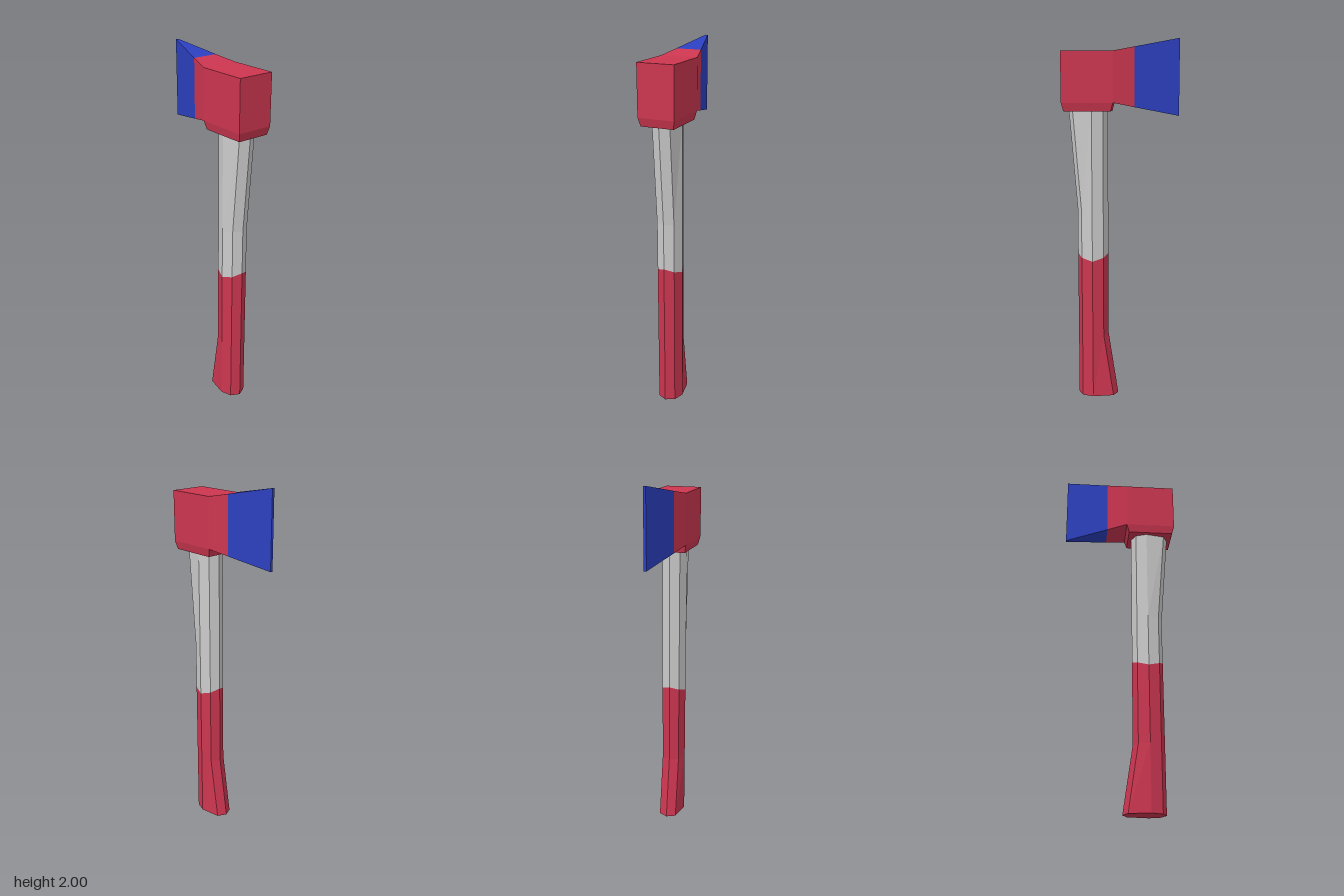
import * as THREE from 'three';

const red = new THREE.MeshStandardMaterial({ color: 0xcc3650, flatShading: true });
const blue = new THREE.MeshStandardMaterial({ color: 0x2c40c0, flatShading: true });
const grey = new THREE.MeshStandardMaterial({ color: 0xcccccc, flatShading: true });

// Skin a list of equal-length rings, each running counterclockwise about the travel direction.
function loft(name, material, rings, { start = false, end = false, skipSide = -1 } = {}) {
  const pos = [];
  const tri = (a, b, c) => pos.push(...a, ...b, ...c);
  const n = rings[0].length;
  for (let i = 0; i < rings.length - 1; i++) {
    for (let j = 0; j < n; j++) {
      if (j === skipSide) continue;
      const k = (j + 1) % n, lo = rings[i], hi = rings[i + 1];
      tri(lo[j], lo[k], hi[k]);
      tri(lo[j], hi[k], hi[j]);
    }
  }
  const first = rings[0], last = rings[rings.length - 1];
  for (let j = 1; j < n - 1; j++) {
    if (start) tri(first[0], first[j + 1], first[j]);
    if (end) tri(last[0], last[j], last[j + 1]);
  }
  const geometry = new THREE.BufferGeometry();
  geometry.setAttribute('position', new THREE.Float32BufferAttribute(pos, 3));
  geometry.computeVertexNormals();
  const mesh = new THREE.Mesh(geometry, material);
  mesh.name = name;
  return mesh;
}

// Octagonal handle section; front/back push its front or back corners out, wave lifts them.
function handleRing(y, front = 0, back = 0, wave = 0) {
  return Array.from({ length: 8 }, (_, i) => {
    const a = (i * Math.PI) / 4;
    const c = Math.cos(a);
    const shift = c > 0.1 ? front : c < -0.1 ? -back : 0;
    return [0.07 * Math.sin(a), y + wave * c * c, 0.155 + 0.085 * c + shift];
  });
}

// Horizontal rectangle of the head body
const bodyRing = (y, w, zBack, zFront) =>
  [[-w, y, zBack], [-w, y, zFront], [w, y, zFront], [w, y, zBack]];

// Upright rectangle of the tapering blade
const bladeRing = (z, w, low, high) =>
  [[-w, low, z], [-w, high, z], [w, high, z], [w, low, z]];

export function createModel() {
  const model = new THREE.Group();
  model.name = 'axe';

  // Handle: flared grip, then a shaft widening forward under the head
  const handle = new THREE.Group();
  handle.name = 'handle';
  const seam = handleRing(0.79, 0, 0, 0.037);
  handle.add(
    loft('grip', red, [handleRing(0, 0, 0.055), handleRing(0.36), seam], { start: true }),
    loft('shaft', grey, [seam, handleRing(1.08), handleRing(1.63, 0.044)], { end: true })
  );

  // Head: block with a chamfered lip, cheeks tapering to the cutting edge
  const head = new THREE.Group();
  head.name = 'head';
  const neck = bladeRing(-0.075, 0.07, 1.637, 1.952);
  const bodyBase = bodyRing(1.66, 0.1, 0.038, 0.315);
  head.add(
    loft('headLip', red, [bodyRing(1.615, 0.09, 0.051, 0.303), bodyBase], { start: true }),
    loft('headBlock', red, [bodyBase, bodyRing(1.93, 0.1, 0.038, 0.315)], { end: true, skipSide: 3 }),
    loft('cheek', red, [bladeRing(0.038, 0.1, 1.66, 1.93), neck]),
    loft('blade', blue, [neck, bladeRing(-0.315, 0.007, 1.59, 2)], { end: true })
  );

  model.add(handle, head);
  return model;
}
